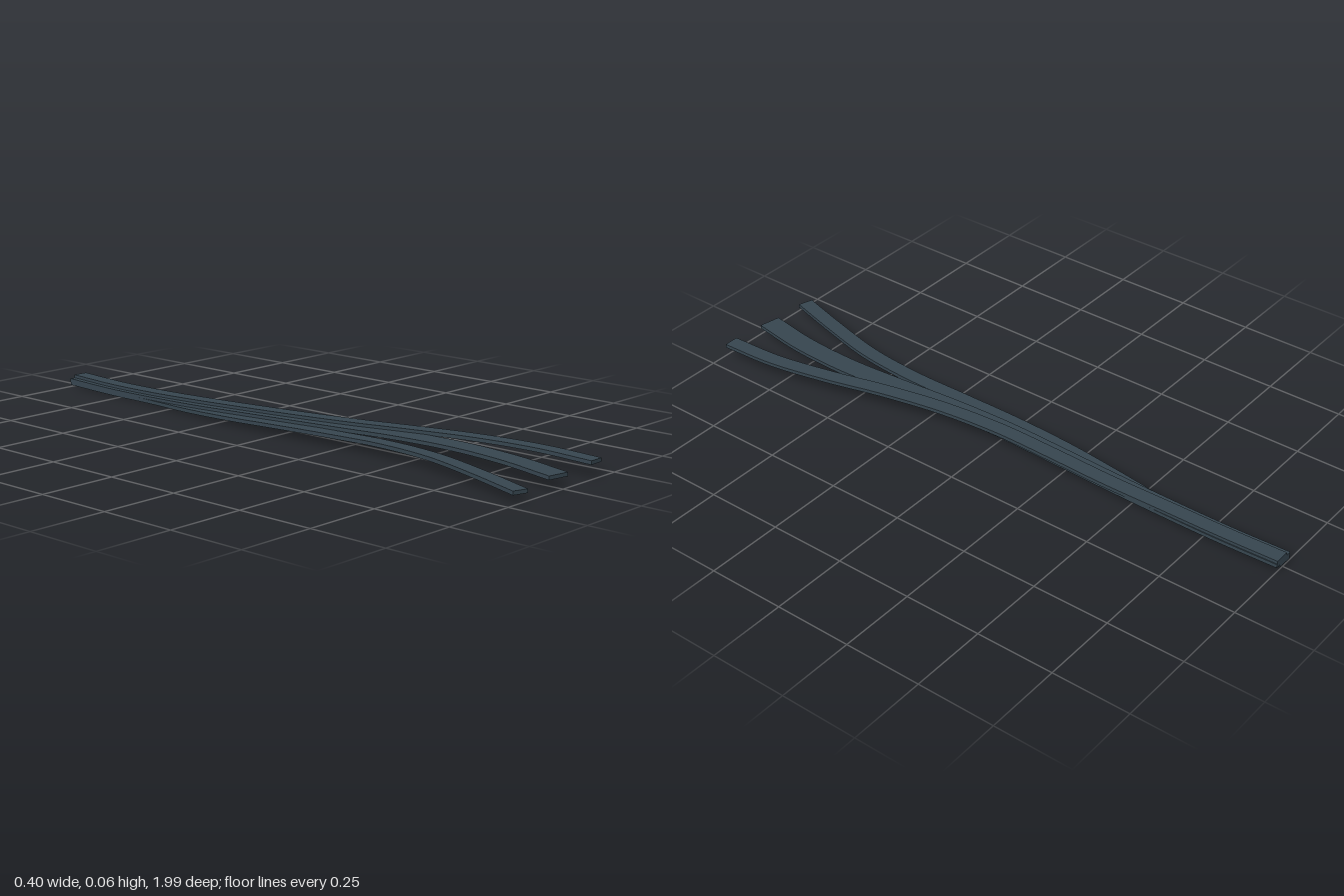
import * as THREE from 'three';

const THICK = 0.012;

// Shared rise and fall of the bundle: [z, y]
const wave = new THREE.SplineCurve([
  [-1, 0.022], [-0.75, 0.016], [-0.4, 0.0215], [0, 0.037], [0.4, 0.045], [0.7, 0.0425], [1, 0.034],
].map(([z, y]) => new THREE.Vector2(z, y)));
const wavePoints = wave.getPoints(200);

function heightAt(z) {
  let i = 1;
  while (i < wavePoints.length - 1 && wavePoints[i].x < z) i++;
  const a = wavePoints[i - 1], b = wavePoints[i];
  return a.y + (b.y - a.y) * (z - a.x) / (b.x - a.x);
}

// A flat strip with rectangular section, bent along a path of [x, z] points
function ribbon(name, width, lift, path, material) {
  const curve = new THREE.CatmullRomCurve3(path.map(([x, z]) => new THREE.Vector3(x, heightAt(z) + lift, z)));
  const geometry = new THREE.BoxGeometry(width, THICK, 1, 1, 1, 80);
  const pos = geometry.attributes.position;
  const up = new THREE.Vector3(0, 1, 0);
  for (let i = 0; i < pos.count; i++) {
    const t = THREE.MathUtils.clamp(pos.getZ(i) + 0.5, 0, 1);
    const tangent = curve.getTangentAt(t);
    const side = up.clone().cross(tangent).normalize();
    const normal = tangent.clone().cross(side);
    const p = curve.getPointAt(t)
      .addScaledVector(side, pos.getX(i))
      .addScaledVector(normal, pos.getY(i));
    pos.setXYZ(i, p.x, p.y, p.z);
  }
  geometry.computeVertexNormals();
  const mesh = new THREE.Mesh(geometry, material);
  mesh.name = name;
  return mesh;
}

export function createModel() {
  const group = new THREE.Group();
  group.name = 'ribbonBundle';
  const material = new THREE.MeshStandardMaterial({ color: 0x36454f });

  // Lowest strip, sweeping out to -x
  group.add(ribbon('rightRibbon', 0.05, -0.01, [
    [-0.011, -1], [-0.011, -0.8], [-0.016, -0.6], [-0.038, -0.4], [-0.053, -0.2], [-0.055, 0],
    [-0.05, 0.2], [-0.047, 0.4], [-0.067, 0.6], [-0.119, 0.8], [-0.176, 0.985],
  ], material));

  // Wide centre strip
  group.add(ribbon('centreRibbon', 0.072, 0, [
    [-0.002, -1], [-0.002, -0.8], [-0.002, -0.6], [-0.002, -0.4], [-0.001, -0.2], [0.002, 0],
    [0.015, 0.2], [0.035, 0.4], [0.046, 0.6], [0.033, 0.8], [-0.002, 0.985],
  ], material));

  // Highest strip, sweeping out to +x
  group.add(ribbon('leftRibbon', 0.05, 0.01, [
    [0.006, -1], [0.006, -0.8], [0.008, -0.6], [0.014, -0.4], [0.016, -0.2], [0.022, 0],
    [0.045, 0.2], [0.087, 0.4], [0.137, 0.6], [0.17, 0.8], [0.173, 0.99],
  ], material));

  return group;
}
